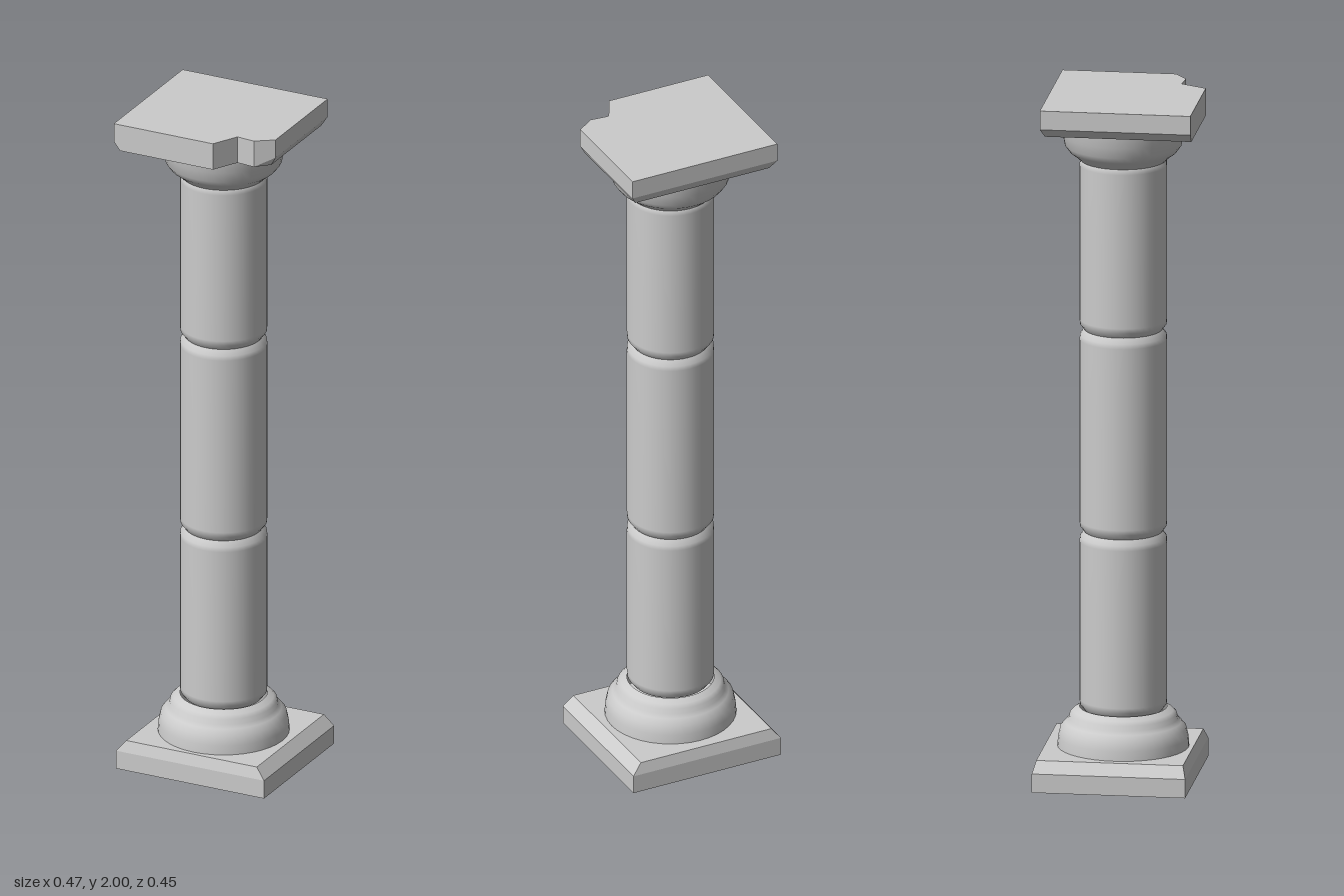
import * as THREE from 'three';

const material = new THREE.MeshStandardMaterial({ color: 0xcccccc, side: THREE.DoubleSide });

// Loft flat-faced walls through stacked [x, z] loops; optional caps.
function slab(name, levels, capBottom) {
  const pos = [];
  const tri = (...pts) => pts.forEach((p) => pos.push(...p));
  const at = (level, i) => {
    const [x, z] = level.loop[i % level.loop.length];
    return [x, level.y, z];
  };
  for (let k = 0; k < levels.length - 1; k++) {
    const lo = levels[k], hi = levels[k + 1];
    for (let i = 0; i < lo.loop.length; i++) {
      tri(at(lo, i), at(lo, i + 1), at(hi, i + 1));
      tri(at(lo, i), at(hi, i + 1), at(hi, i));
    }
  }
  const cap = (level, up) => {
    // Using (x, -z) makes the loop counter-clockwise when seen from above
    const pts = level.loop.map(([x, z]) => new THREE.Vector2(x, -z));
    for (const [a, b, c] of THREE.ShapeUtils.triangulateShape(pts, [])) {
      if (up) tri(at(level, a), at(level, b), at(level, c));
      else tri(at(level, a), at(level, c), at(level, b));
    }
  };
  cap(levels[levels.length - 1], true);
  if (capBottom) cap(levels[0], false);
  const g = new THREE.BufferGeometry();
  g.setAttribute('position', new THREE.Float32BufferAttribute(pos, 3));
  g.computeVertexNormals();
  const mesh = new THREE.Mesh(g, material);
  mesh.name = name;
  return mesh;
}

const rect = (x0, x1, z0, z1) => [[x0, z1], [x1, z1], [x1, z0], [x0, z0]];

function turned(name, profile) {
  const pts = profile.map(([r, y]) => new THREE.Vector2(r, y));
  const mesh = new THREE.Mesh(new THREE.LatheGeometry(pts, 40), material);
  mesh.name = name;
  return mesh;
}

export function createModel() {
  const group = new THREE.Group();
  group.name = 'column';

  // Hollow square plinth with a bevelled upper edge
  group.add(slab('plinth', [
    { y: 0, loop: rect(-0.235, 0.235, -0.229, 0.21) },
    { y: 0.055, loop: rect(-0.235, 0.235, -0.229, 0.21) },
    { y: 0.088, loop: rect(-0.208, 0.207, -0.22, 0.2) },
  ], false));

  // Moulded foot
  group.add(turned('footMoulding', [
    [0.187, 0.088], [0.185, 0.115], [0.179, 0.142], [0.165, 0.158],
    [0.155, 0.168], [0.152, 0.182], [0.142, 0.192], [0.124, 0.202],
  ]));

  // Three shaft drums, separated by V-shaped joints
  const joints = [0.195, 0.717, 1.309, 1.82];
  for (let i = 0; i < 3; i++) {
    const y0 = joints[i], y1 = joints[i + 1];
    group.add(turned('shaftDrum' + (i + 1), [
      [0.111, y0], [0.123, y0 + 0.016], [0.124, y0 + 0.03],
      [0.124, y1 - 0.03], [0.123, y1 - 0.016], [0.111, y1],
    ]));
  }

  // Flared capital
  group.add(turned('capitalMoulding', [
    [0.121, 1.805], [0.135, 1.818], [0.153, 1.832], [0.166, 1.85],
    [0.172, 1.88], [0.177, 1.9], [0.179, 1.922],
  ]));

  // Top slab with one broken corner, bevelled below on three sides
  const outline = [
    [-0.235, 0.225], [0.08, 0.225], [0.12, 0.15], [0.175, 0.155],
    [0.226, 0.12], [0.226, -0.206], [-0.235, -0.206],
  ];
  const inset = outline.map(([x, z]) => [
    THREE.MathUtils.clamp(x, -0.215, 0.212), Math.max(z, -0.194),
  ]);
  group.add(slab('topSlab', [
    { y: 1.92, loop: inset },
    { y: 1.945, loop: outline },
    { y: 2, loop: outline },
  ], true));

  return group;
}
